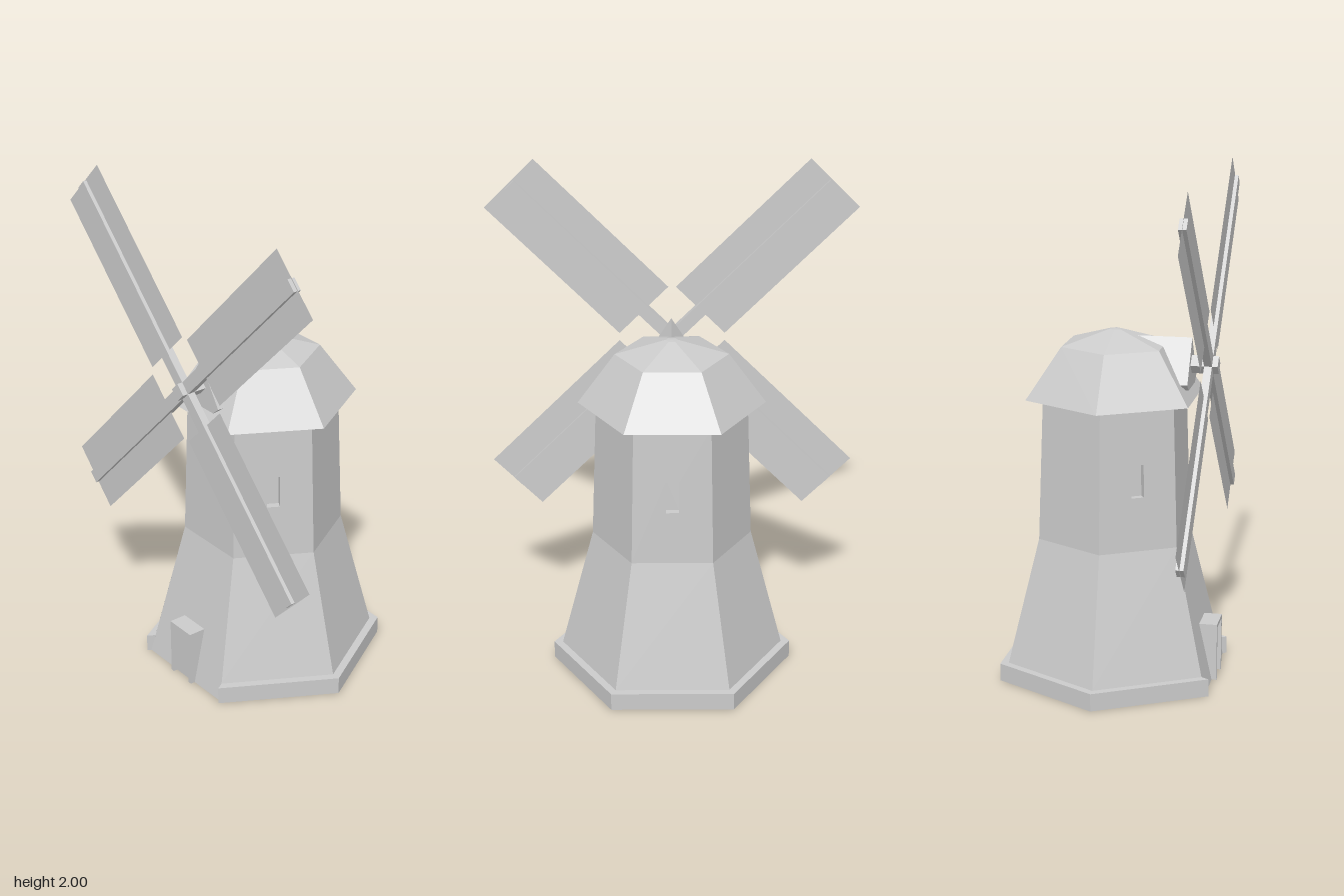
import * as THREE from 'three';

const CX = 0.005;              // tower axis
const AP = Math.cos(Math.PI / 6); // apothem of a unit hexagon
const STEP = Math.PI / 3;
const HUB_Y = 1.262;

const mat = new THREE.MeshStandardMaterial({ color: 0xcccccc, flatShading: true, side: THREE.DoubleSide });
const innerMat = new THREE.MeshStandardMaterial({ color: 0xcccccc, flatShading: true, side: THREE.BackSide });

function add(parent, name, geometry, material = mat) {
  const mesh = new THREE.Mesh(geometry, material);
  mesh.name = name;
  parent.add(mesh);
  return mesh;
}

function polygon(points) {
  return new THREE.Shape(points.map(([x, y]) => new THREE.Vector2(x, y)));
}

function hexLathe(points, start = Math.PI / 2, sides = 6) {
  return new THREE.LatheGeometry(points.map(([r, y]) => new THREE.Vector2(r, y)), sides, start, sides * STEP);
}

// One sloping wall panel of the hexagonal tower, optionally with a sunken window
function wallPanel(parent, name, angle, [r0, y0], [r1, y1], windowY) {
  const run = (r0 - r1) * AP;
  const slant = Math.hypot(run, y1 - y0);
  const shape = polygon([[-r0 / 2, 0], [r0 / 2, 0], [r1 / 2, slant], [-r1 / 2, slant]]);
  const pivot = new THREE.Group();
  pivot.name = name;
  pivot.rotation.y = angle;
  parent.add(pivot);
  const panel = new THREE.Group();
  panel.position.set(0, y0, r0 * AP);
  panel.rotation.x = -Math.atan2(run, y1 - y0);
  pivot.add(panel);
  if (windowY) {
    const w = 0.05, h = 0.128, d = 0.03;
    const cy = (windowY - y0) * slant / (y1 - y0);
    shape.holes.push(new THREE.Path([[-w, -h], [-w, h], [w, h], [w, -h]]
      .map(([x, y]) => new THREE.Vector2(x / 2, cy + y / 2))));
    add(panel, 'windowRecess', new THREE.BoxGeometry(w, h, d), innerMat).position.set(0, cy, -d / 2);
  }
  add(panel, 'wall', new THREE.ShapeGeometry(shape));
}

export function createModel() {
  const model = new THREE.Group();
  model.name = 'windmill';

  const building = new THREE.Group();
  building.name = 'building';
  building.position.x = CX;
  model.add(building);

  // Tower walls; the front one runs down to the ground, windows on every other side
  for (let k = 0; k < 6; k++) {
    const foot = k === 0 ? [0.463, 0] : [0.445, 0.07];
    wallPanel(building, 'lowerWall', k * STEP, foot, [0.315, 0.57]);
    wallPanel(building, 'upperWall', k * STEP, [0.315, 0.57], [0.295, 1.13], k % 2 ? 0.845 : 0);
  }

  // Plinth around five sides, with closed ends beside the front
  add(building, 'plinth', hexLathe([[0.48, 0], [0.48, 0.07], [0.445, 0.07]], STEP / 2, 5));
  for (const s of [-1, 1]) {
    const end = polygon([[0.463, 0], [0.48, 0], [0.48, 0.07], [0.445, 0.07]]);
    add(building, 'plinthEnd', new THREE.ShapeGeometry(end)).rotation.y = s * STEP / 2 - Math.PI / 2;
  }

  // Roof cap with closed eaves
  add(building, 'roof', hexLathe([[0.295, 1.13], [0.365, 1.13], [0.22, 1.33], [0.025, 1.388], [0, 1.39]]));

  // Gabled dormer carrying the shaft
  const gable = polygon([[0, 1.365], [-0.107, 1.2], [-0.075, 1.173], [0.075, 1.173], [0.107, 1.2]]);
  add(building, 'dormer', new THREE.ExtrudeGeometry(gable, { depth: 0.23, bevelEnabled: false })).position.z = 0.07;

  // Door frame and sunken door
  const frame = polygon([[-0.065, 0], [-0.065, 0.23], [0.065, 0.23], [0.065, 0],
    [0.05, 0], [0.05, 0.215], [-0.05, 0.215], [-0.05, 0]]);
  add(building, 'doorFrame', new THREE.ExtrudeGeometry(frame, { depth: 0.08, bevelEnabled: false })).position.z = 0.34;
  add(building, 'door', new THREE.PlaneGeometry(0.1, 0.215)).position.set(0, 0.1075, 0.403);

  // Rotor: square shaft, four spars and thin sails
  const rotor = new THREE.Group();
  rotor.name = 'rotor';
  rotor.position.set(0.001, HUB_Y, 0);
  rotor.rotation.z = Math.PI / 4;
  model.add(rotor);
  add(rotor, 'shaft', new THREE.BoxGeometry(0.05, 0.05, 0.12)).position.z = 0.345;
  for (let k = 0; k < 4; k++) {
    const arm = new THREE.Group();
    arm.name = 'sailArm';
    arm.rotation.z = k * Math.PI / 2;
    arm.position.z = 0.368;
    rotor.add(arm);
    add(arm, 'spar', new THREE.BoxGeometry(0.05, 0.897, 0.03)).position.y = 0.897 / 2;
    add(arm, 'sail', new THREE.PlaneGeometry(0.277, 0.742)).position.y = 0.16 + 0.742 / 2;
  }
  return model;
}
